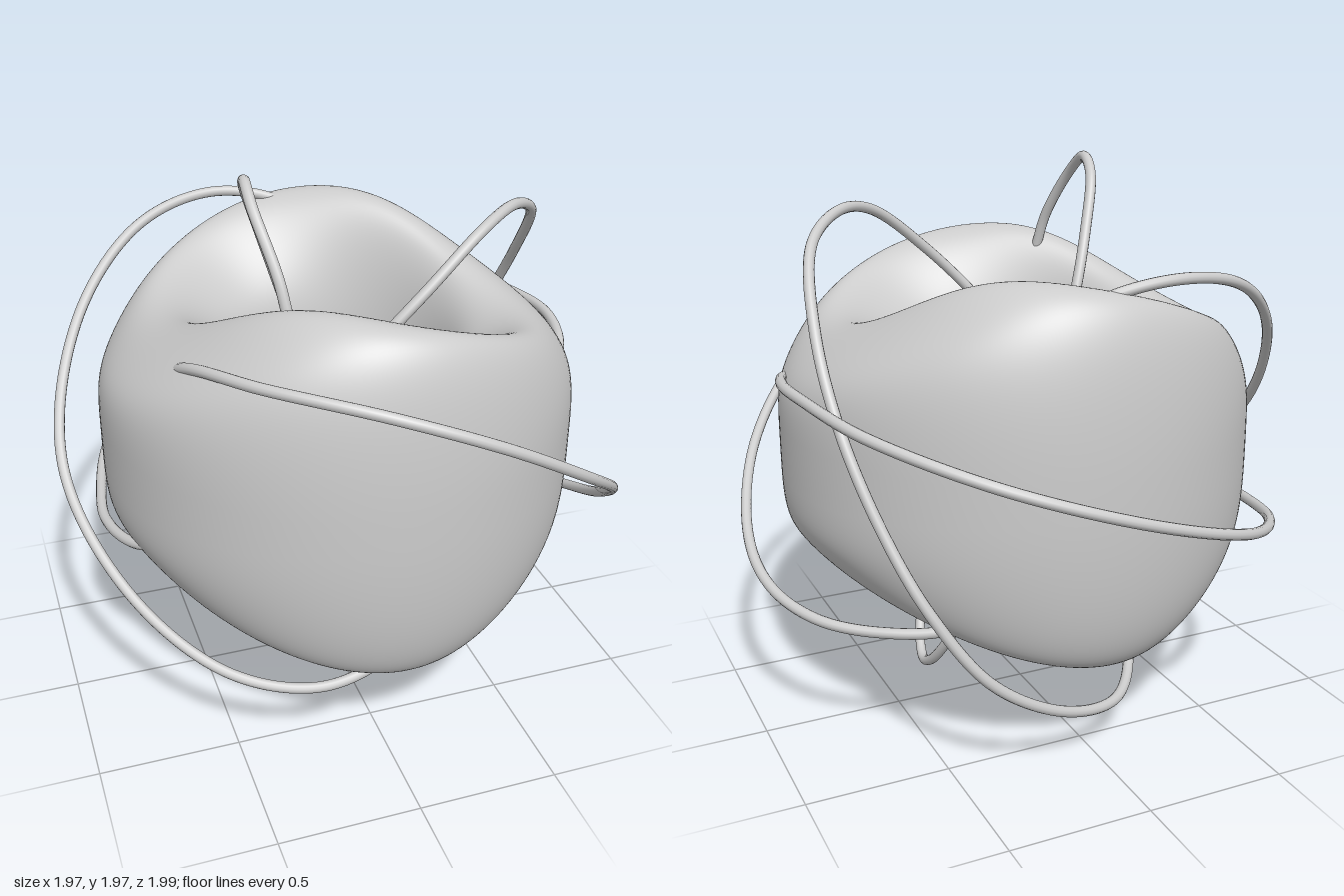
import * as THREE from 'three';

const material = new THREE.MeshStandardMaterial({ color: 0xcccccc });
const CENTRE = 0.02;

// One point of the ring: t runs round the hole from the front, p round the section
function ringPoint(t, p) {
  const s = Math.sin(p), c = Math.cos(p);
  const radius = 0.61 + 0.23 * c;
  const tall = Math.cos(2 * (t + 0.33 * s)); // tall at front and back, low at the sides
  const lean = Math.cos(2 * (t - 0.5 * s)); // crest leans outwards, then inwards
  const power = 0.75 + 0.1 * lean + c * (0.05 * lean - 0.1);
  const rise = Math.sin(p + 0.42 * lean * s * Math.abs(s));
  const y = 1 + Math.sign(s) * Math.pow(Math.abs(rise), power) * (0.545 + 0.117 * tall);
  return [CENTRE + radius * Math.sin(t), y, CENTRE + radius * Math.cos(t)];
}

function ringGeometry(nt = 160, np = 128) {
  const position = [], index = [];
  const at = (i, j) => (i % nt) * np + (j % np);
  for (let i = 0; i < nt; i++) {
    for (let j = 0; j < np; j++) {
      position.push(...ringPoint((i / nt) * Math.PI * 2, (j / np) * Math.PI * 2));
      const a = at(i, j), b = at(i + 1, j), c = at(i + 1, j + 1), d = at(i, j + 1);
      index.push(a, b, c, a, c, d);
    }
  }
  const g = new THREE.BufferGeometry();
  g.setAttribute('position', new THREE.Float32BufferAttribute(position, 3));
  g.setIndex(index);
  g.computeVertexNormals();
  return g;
}

// Adds the half turn of an arc; the last point of the half is its middle
function halfTurn(half, turn) {
  return [...half, ...half.slice(0, -1).reverse().map(turn)];
}

function wire(name, points, closed = false) {
  const curve = new THREE.CatmullRomCurve3(points.map((p) => new THREE.Vector3(...p)), closed);
  const mesh = new THREE.Mesh(new THREE.TubeGeometry(curve, 200, 0.019, 12, closed), material);
  mesh.name = name;
  return mesh;
}

export function createModel() {
  const group = new THREE.Group();
  group.name = 'ringWithWires';

  const body = new THREE.Mesh(ringGeometry(), material);
  body.name = 'wavyRing';
  group.add(body);

  // Arc across the front, from the top left to the bottom right
  group.add(wire('frontWire', [
    [-0.62, 1.3, 0.14], [-0.59, 1.45, 0.38], [-0.42, 1.495, 0.68], [-0.1, 1.46, 0.905],
    [0.23, 1.34, 0.975], [0.57, 1.13, 0.89], [0.83, 0.89, 0.63], [0.955, 0.66, 0.3],
    [0.95, 0.55, 0.03], [0.85, 0.5, -0.2], [0.68, 0.487, -0.36], [0.48, 0.51, -0.48],
    [0.38, 0.57, -0.5],
  ]));

  // Arc round the side, symmetric about the x axis
  group.add(wire('sideWire', halfTurn([
    [0.15, 1.5, -0.56], [0, 1.61, -0.64], [-0.25, 1.655, -0.67], [-0.55, 1.59, -0.57],
    [-0.83, 1.35, -0.33], [-0.965, 0.97, 0],
  ], ([x, y, z]) => [x, 1.98 - y, -z])));

  // Arc round the back, nearly symmetric about the z axis
  group.add(wire('backWire', halfTurn([
    [0.64, 1.16, 0.38], [0.8, 1.24, 0.22], [0.87, 1.27, 0], [0.86, 1.27, -0.2],
    [0.76, 1.23, -0.55], [0.46, 1.13, -0.87], [0.02, 0.985, -0.98],
  ], ([x, y, z]) => [0.04 - x, 1.97 - y, z])));

  // Arc that falls through the hole and hooks over both rims
  group.add(wire('innerWire', [
    [-0.18, 1.35, 0.54], [-0.25, 1.5, 0.46], [-0.29, 1.72, 0.39], [-0.33, 1.9, 0.26],
    [-0.325, 1.955, 0.15], [-0.3, 1.9, 0.05], [-0.23, 1.72, -0.05], [-0.15, 1.5, -0.125],
    [0, 1.05, -0.175], [0.15, 0.6, -0.12], [0.26, 0.25, 0.01], [0.305, 0.05, 0.17],
    [0.305, 0.02, 0.26], [0.27, 0.1, 0.38], [0.18, 0.3, 0.5], [0.1, 0.47, 0.56],
  ]));

  // Closed loop through the hole and round the outside
  group.add(wire('linkedWire', [
    [0.2, 1.62, 0.41], [0.42, 1.78, 0.34], [0.58, 1.805, 0.22], [0.73, 1.72, 0.06],
    [0.8, 1.48, -0.18], [0.79, 1.2, -0.38], [0.71, 0.9, -0.53], [0.6, 0.65, -0.64],
    [0.42, 0.4, -0.7], [0.15, 0.23, -0.68], [-0.1, 0.17, -0.58], [-0.25, 0.22, -0.4],
    [-0.32, 0.38, -0.18], [-0.33, 0.62, -0.04], [-0.29, 0.9, 0.13], [-0.18, 1.17, 0.3],
    [0, 1.42, 0.4],
  ], true));

  return group;
}
